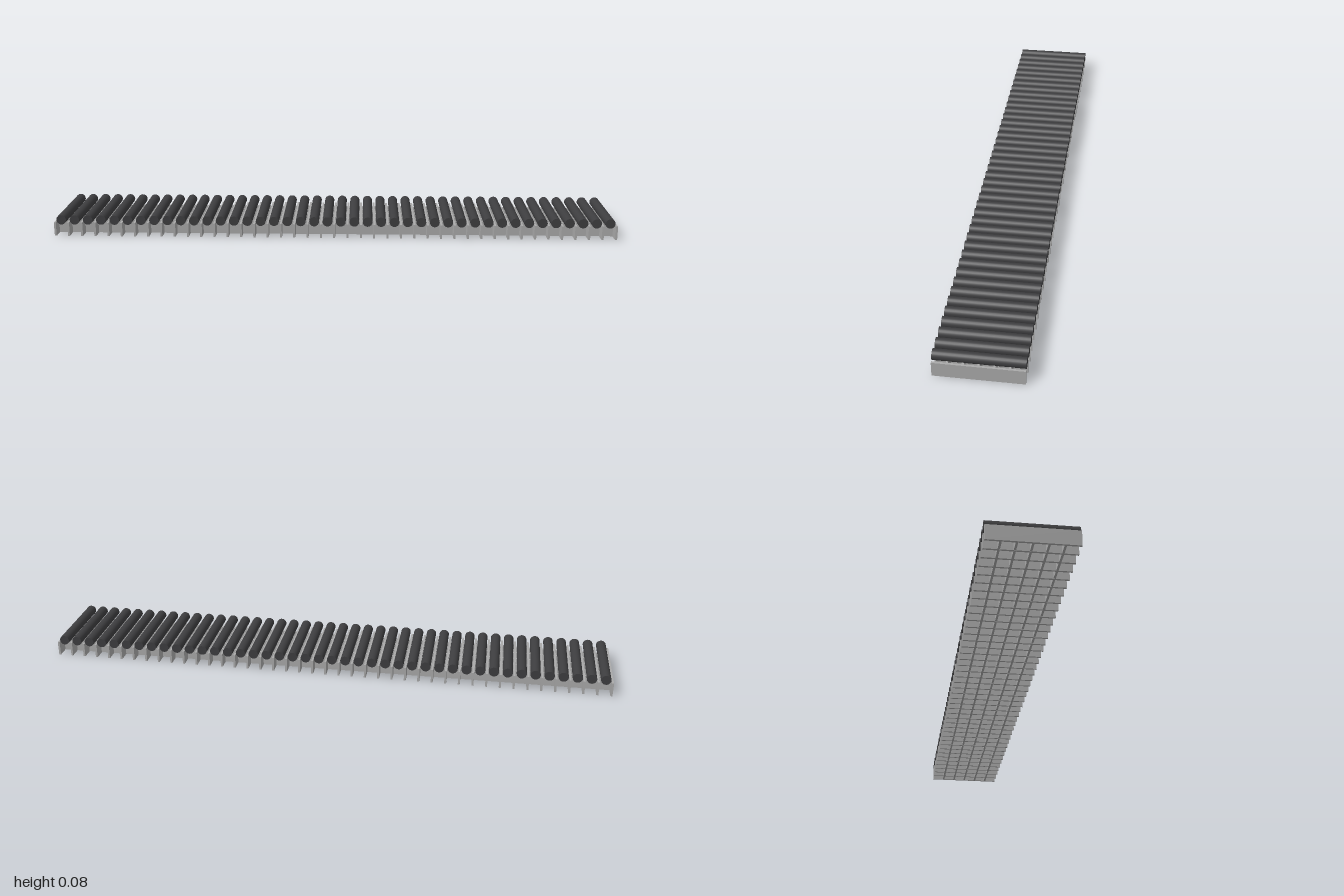
import * as THREE from 'three';

const RODS = 42, DEPTH = 0.278, HEIGHT = 0.05, THICK = 0.007;
const RADIUS = 0.0172, TOP = 0.077, RAILS = 5;

export function createModel() {
  const model = new THREE.Group();
  model.name = 'slattedGrating';
  const metal = new THREE.MeshStandardMaterial({ color: 0xaaaaaa });
  const rubber = new THREE.MeshStandardMaterial({ color: 0x3e3e40 });

  const add = (parent, name, geometry, material, x, y, z) => {
    const mesh = new THREE.Mesh(geometry, material);
    mesh.name = name;
    mesh.position.set(x, y, z);
    parent.add(mesh);
  };
  const group = (name) => {
    const g = new THREE.Group();
    g.name = name;
    model.add(g);
    return g;
  };

  const span = 2 - THICK;
  const pitch = span / RODS;

  // Upright plates running front to back, one on each side of every rod
  const plates = group('crossPlates');
  const plateGeo = new THREE.BoxGeometry(THICK, HEIGHT, DEPTH);
  for (let i = 0; i <= RODS; i++) {
    add(plates, 'crossPlate', plateGeo, metal, -span / 2 + i * pitch, HEIGHT / 2, 0);
  }

  // Long rails crossing the plates, set in from the front and back edges
  const rails = group('longRails');
  const railGeo = new THREE.BoxGeometry(2 - THICK, HEIGHT - 0.001, THICK);
  for (let i = 1; i <= RAILS; i++) {
    const z = -DEPTH / 2 + (i * DEPTH) / (RAILS + 1);
    add(rails, 'longRail', railGeo, metal, 0, HEIGHT / 2, z);
  }

  // Round dark rods resting between the plates
  const rods = group('rods');
  const rodGeo = new THREE.CylinderGeometry(RADIUS, RADIUS, DEPTH, 24).rotateX(Math.PI / 2);
  for (let i = 0; i < RODS; i++) {
    add(rods, 'rod', rodGeo, rubber, -span / 2 + (i + 0.5) * pitch, TOP - RADIUS, 0);
  }
  return model;
}
